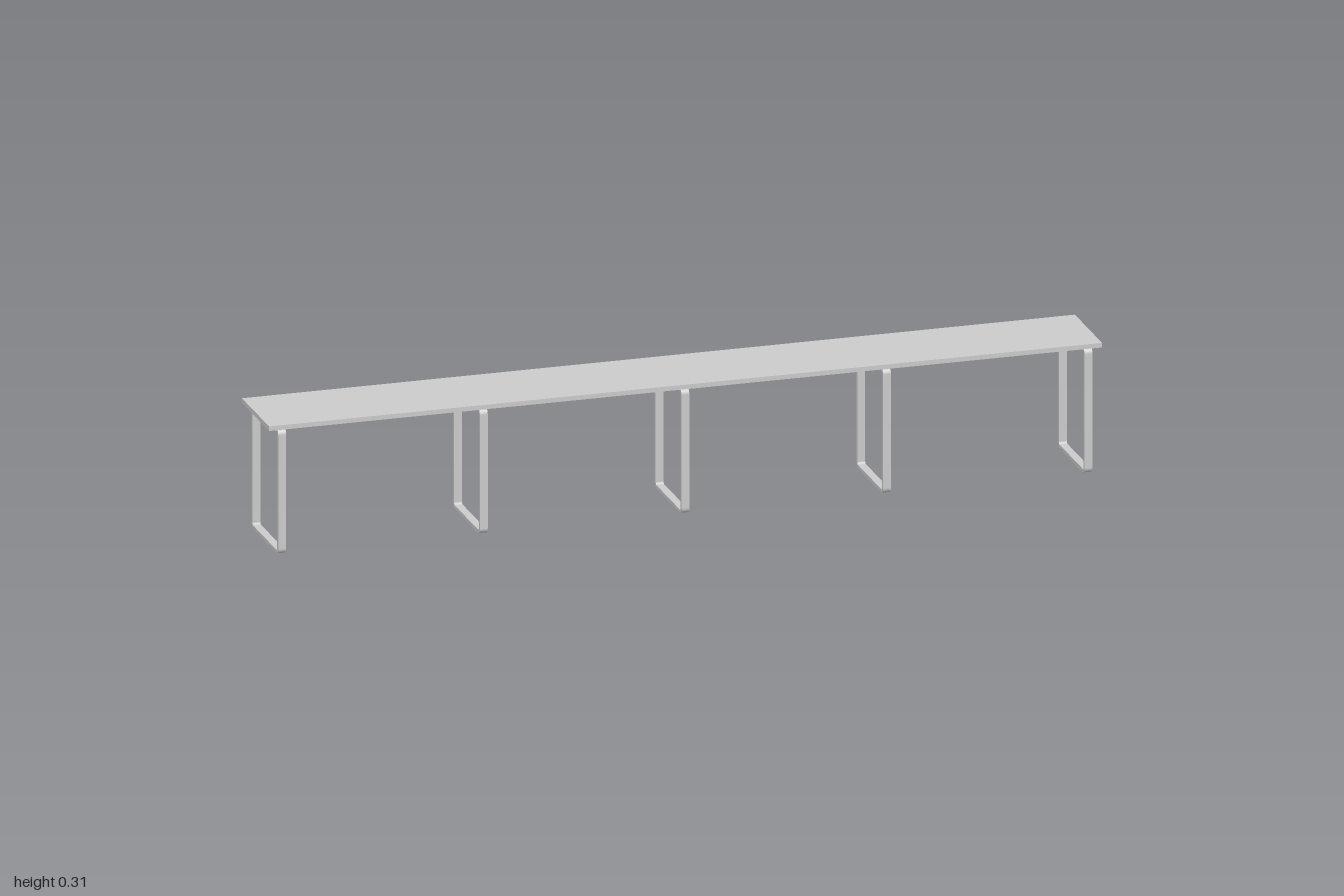
import * as THREE from 'three';

const LEG_HEIGHT = 0.303, LEG_DEPTH = 0.207, LEG_WIDTH = 0.019, BAR = 0.008;

// Rounded rectangle centred on the origin, traced onto a Shape or Path
function roundedRect(path, w, h, r) {
  const x = w / 2, y = h / 2;
  path.moveTo(-x + r, -y);
  path.lineTo(x - r, -y);
  path.absarc(x - r, -y + r, r, -Math.PI / 2, 0);
  path.lineTo(x, y - r);
  path.absarc(x - r, y - r, r, 0, Math.PI / 2);
  path.lineTo(-x + r, y);
  path.absarc(-x + r, y - r, r, Math.PI / 2, Math.PI);
  path.lineTo(-x, -y + r);
  path.absarc(-x + r, -y + r, r, Math.PI, Math.PI * 1.5);
  return path;
}

export function createModel() {
  const model = new THREE.Group();
  model.name = 'bench';
  const material = new THREE.MeshStandardMaterial({ color: 0xcccccc });

  // Long flat seat board
  const seat = new THREE.Mesh(new THREE.BoxGeometry(2, 0.011, 0.21), material);
  seat.name = 'seat';
  seat.position.y = LEG_HEIGHT + 0.0055;
  model.add(seat);

  // Flat-bar loop frame, extruded along x
  const outline = roundedRect(new THREE.Shape(), LEG_DEPTH, LEG_HEIGHT, 0.014);
  outline.holes.push(roundedRect(new THREE.Path(), LEG_DEPTH - 2 * BAR, LEG_HEIGHT - 2 * BAR, 0.006));
  const loop = new THREE.ExtrudeGeometry(outline, { depth: LEG_WIDTH, bevelEnabled: false, curveSegments: 8 });
  loop.translate(0, 0, -LEG_WIDTH / 2);
  loop.rotateY(Math.PI / 2);

  // Five evenly spaced leg frames
  for (let i = -2; i <= 2; i++) {
    const leg = new THREE.Mesh(loop, material);
    leg.name = `legFrame${i + 3}`;
    leg.position.set(i * 0.484, LEG_HEIGHT / 2, 0);
    model.add(leg);
  }
  return model;
}
